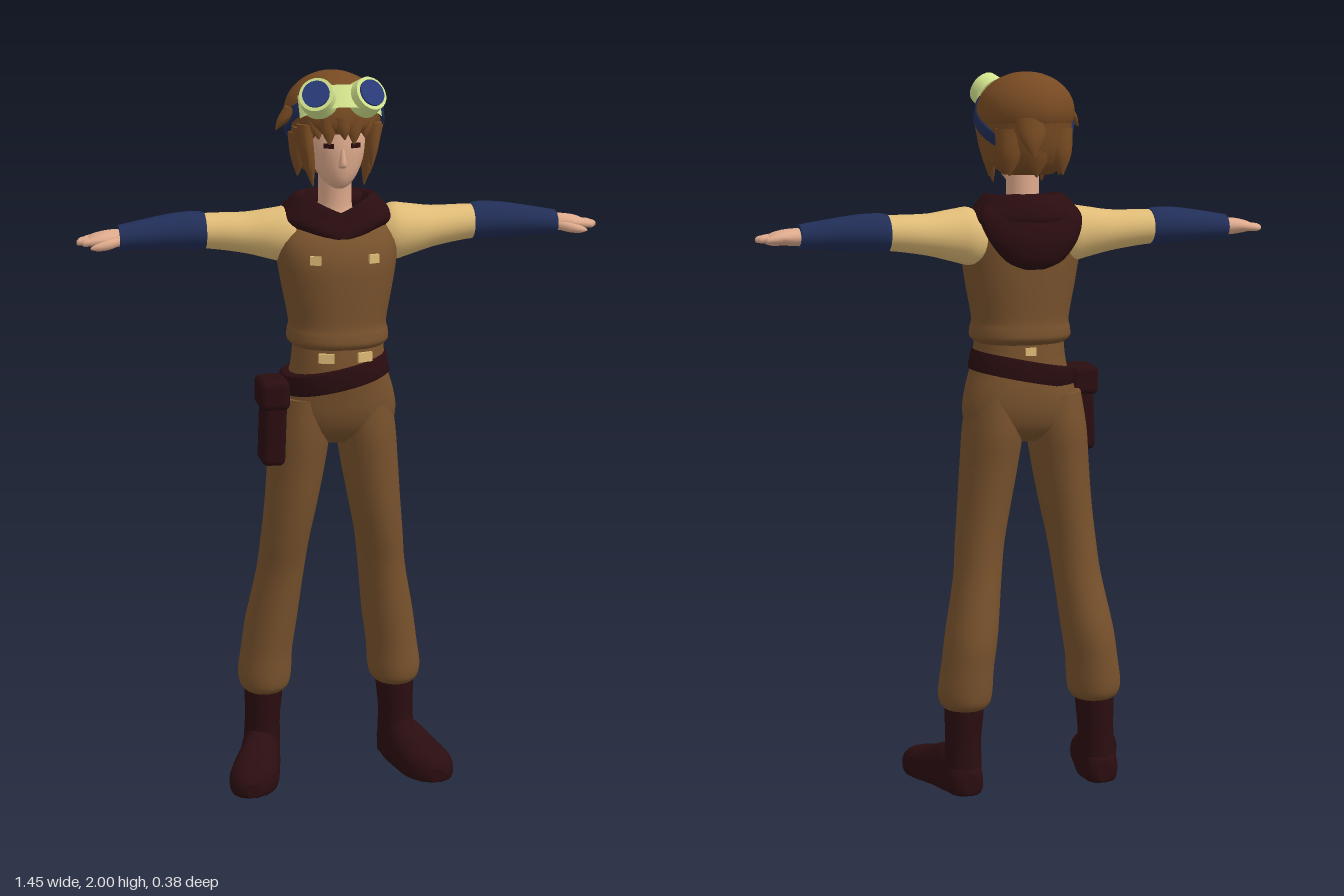
import * as THREE from 'three';
import { RoundedBoxGeometry } from 'three/addons/geometries/RoundedBoxGeometry.js';

const paint = (name, color) => {
  const m = new THREE.MeshStandardMaterial({ color });
  m.name = name;
  return m;
};

// Smooth closed loft. Sections are [x, y, z, a, b] along an axis:
// y: a = x radius, b = z radius; x: a = y radius, b = z radius; z: a = x radius, b = y radius.
function loft(sections, { axis = 'y', n = 28, sub = 4, power = 1, warp } = {}) {
  const rows = [];
  const at = i => sections[Math.max(0, Math.min(sections.length - 1, i))];
  for (let i = 0; i < sections.length - 1; i++)
    for (let k = 0; k < sub; k++) {
      const t = k / sub;
      rows.push(at(i).map((p1, c) => {
        const p0 = at(i - 1)[c], p2 = at(i + 1)[c], p3 = at(i + 2)[c];
        return p1 + 0.5 * t * (p2 - p0 + t * (2 * p0 - 5 * p1 + 4 * p2 - p3 + t * (3 * (p1 - p2) + p3 - p0)));
      }));
    }
  rows.push(at(sections.length - 1));
  const pos = [], idx = [], v = new THREE.Vector3();
  const bend = f => Math.sign(f) * Math.abs(f) ** power;
  const ring = ([x, y, z, a, b]) => {
    for (let j = 0; j < n; j++) {
      const t = (j / n) * Math.PI * 2, c = bend(Math.cos(t)), s = bend(Math.sin(t));
      if (axis === 'y') v.set(x + a * c, y, z + b * s);
      else if (axis === 'x') v.set(x, y + a * s, z + b * c);
      else v.set(x + a * s, y + b * c, z);
      if (warp) warp(v);
      pos.push(v.x, v.y, v.z);
    }
  };
  rows.forEach(ring);
  for (let i = 0; i < rows.length - 1; i++)
    for (let j = 0; j < n; j++) {
      const a = i * n + j, b = i * n + (j + 1) % n;
      idx.push(a, a + n, b, b, a + n, b + n);
    }
  // end caps with their own vertices
  [rows[0], rows[rows.length - 1]].forEach((r, end) => {
    const base = pos.length / 3;
    ring(r);
    v.set(r[0], r[1], r[2]);
    if (warp) warp(v);
    pos.push(v.x, v.y, v.z);
    for (let j = 0; j < n; j++) {
      const a = base + j, b = base + (j + 1) % n;
      end ? idx.push(base + n, b, a) : idx.push(base + n, a, b);
    }
  });
  const g = new THREE.BufferGeometry();
  g.setAttribute('position', new THREE.Float32BufferAttribute(pos, 3));
  g.setIndex(idx);
  g.computeVertexNormals();
  return g;
}

export function createModel() {
  const brown = paint('brown cloth', 0x77512c), hairBrown = paint('hair brown', 0x774a22);
  const skin = paint('skin', 0xdeaa8c), tan = paint('tan cloth', 0xdfbb76);
  const navy = paint('navy', 0x212e57), dark = paint('dark leather', 0x2a0d10);
  const lime = paint('pale lime', 0xd2e38c), blue = paint('lens blue', 0x2b3c7c);
  lime.side = THREE.DoubleSide;

  const model = new THREE.Group();
  const group = (name, x = 0, y = 0, z = 0, parent = model) => {
    const g = new THREE.Group();
    g.name = name;
    g.position.set(x, y, z);
    parent.add(g);
    return g;
  };
  const add = (parent, name, geo, mat, p = [0, 0, 0], r = [0, 0, 0]) => {
    const m = new THREE.Mesh(geo, mat);
    m.name = name;
    m.position.set(...p);
    m.rotation.set(...r);
    parent.add(m);
    return m;
  };
  // mirrors sections in x; reversing keeps lofts along x facing outward
  const side = (s, list, reverse) => {
    const out = list.map(([x, ...rest]) => [s * x, ...rest]);
    return s < 0 && reverse ? out.reverse() : out;
  };

  // torso
  const body = group('torso', -0.018);
  add(body, 'vest', loft([
    [0, 1.26, 0.01, 0.122, 0.108], [0, 1.275, 0.006, 0.139, 0.126], [0, 1.3, 0.005, 0.139, 0.125],
    [0, 1.33, 0.004, 0.135, 0.12], [0, 1.42, 0.003, 0.152, 0.122], [0, 1.5, 0, 0.165, 0.12],
    [0, 1.56, -0.013, 0.166, 0.104], [0, 1.605, -0.03, 0.14, 0.07], [0, 1.62, -0.03, 0.07, 0.04],
  ], { power: 0.9, n: 40 }), brown);
  add(body, 'hips', loft([
    [0, 0.985, 0, 0.09, 0.05], [0, 1.02, 0, 0.15, 0.092], [0, 1.07, 0.002, 0.164, 0.113],
    [0, 1.13, 0.006, 0.155, 0.118], [0, 1.2, 0.015, 0.133, 0.115], [0, 1.275, 0.013, 0.124, 0.105],
  ], { power: 0.92, n: 36 }), brown);
  for (const s of [-1, 1]) {
    add(body, 'chestStud', new THREE.BoxGeometry(0.03, 0.024, 0.009), tan, [s * 0.08, 1.51, 0.109], [0, s * 0.35, 0]);
    add(body, 'waistBuckle', new THREE.BoxGeometry(0.042, 0.026, 0.009), tan, [s * 0.053, 1.242, 0.121], [0, s * 0.3, 0]);
  }
  add(body, 'backBuckle', new THREE.BoxGeometry(0.03, 0.022, 0.009), tan, [0, 1.242, -0.096]);

  // belt and hip pouch
  add(model, 'belt', loft([
    [0, -0.03, 0, 0.142, 0.118], [0, -0.026, 0, 0.15, 0.126], [0, 0.026, 0, 0.15, 0.126], [0, 0.03, 0, 0.142, 0.118],
  ], { power: 0.92, n: 40, sub: 1 }), dark, [-0.028, 1.183, 0.016], [0, 0, 0.2]);
  const pouch = group('hipPouch', -0.21, 1.05, 0.055);
  add(pouch, 'pouchBody', new RoundedBoxGeometry(0.066, 0.22, 0.1, 3, 0.018), dark, [0, 0, 0], [0, 0, -0.04]);
  add(pouch, 'pouchFlap', new RoundedBoxGeometry(0.085, 0.085, 0.118, 3, 0.02), dark, [0, 0.09, 0]);

  // hood lying around the neck
  add(body, 'hoodCollar', loft([
    [0, 1.575, -0.035, 0.145, 0.1], [0, 1.605, -0.035, 0.165, 0.125], [0, 1.645, -0.035, 0.135, 0.112],
    [0, 1.672, -0.03, 0.105, 0.092], [0, 1.65, -0.022, 0.08, 0.072], [0, 1.59, -0.02, 0.05, 0.045],
  ], { n: 40, warp: v => { if (v.z > 0) v.y -= 0.05 * Math.min(1, v.z / 0.07) * Math.max(0, 1 - Math.abs(v.x) / 0.12); } }), dark);
  add(body, 'hoodBack', loft([
    [0, 1.472, -0.13, 0.03, 0.015], [0, 1.495, -0.13, 0.08, 0.036], [0, 1.55, -0.122, 0.125, 0.05],
    [0, 1.61, -0.098, 0.145, 0.055], [0, 1.65, -0.075, 0.12, 0.045], [0, 1.67, -0.07, 0.07, 0.025],
  ]), dark);

  // arms
  for (const s of [-1, 1]) {
    const arm = group(s > 0 ? 'leftArm' : 'rightArm');
    const limb = (name, list, mat, n = 24) => add(arm, name, loft(side(s, list, true), { axis: 'x', n }), mat);
    limb('sleeve', [
      [0.1, 1.55, -0.03, 0.06, 0.06], [0.14, 1.558, -0.033, 0.079, 0.08], [0.19, 1.562, -0.036, 0.071, 0.077],
      [0.26, 1.566, -0.046, 0.057, 0.066], [0.34, 1.572, -0.054, 0.05, 0.058], [0.39, 1.574, -0.056, 0.047, 0.055],
    ], tan);
    limb('gauntlet', [
      [0.374, 1.574, -0.056, 0.05, 0.058], [0.4, 1.576, -0.056, 0.052, 0.06], [0.46, 1.576, -0.052, 0.049, 0.057],
      [0.54, 1.572, -0.042, 0.041, 0.049], [0.61, 1.567, -0.033, 0.034, 0.042],
    ], navy);
    limb('palm', [
      [0.59, 1.567, -0.032, 0.022, 0.03], [0.62, 1.567, -0.03, 0.024, 0.036], [0.65, 1.567, -0.028, 0.021, 0.044],
      [0.675, 1.566, -0.027, 0.016, 0.044], [0.69, 1.565, -0.027, 0.01, 0.04],
    ], skin);
    [[-0.06, 0.705], [-0.038, 0.72], [-0.016, 0.725], [0.005, 0.712]].forEach(([z, tip]) => limb('finger', [
      [0.66, 1.566, z, 0.012, 0.012], [tip - 0.015, 1.563, z, 0.01, 0.011], [tip - 0.003, 1.561, z, 0.007, 0.008], [tip, 1.561, z, 0.002, 0.002],
    ], skin, 10));
    limb('thumb', [
      [0.61, 1.562, -0.005, 0.012, 0.012], [0.64, 1.557, 0.01, 0.014, 0.014], [0.67, 1.552, 0.016, 0.011, 0.011], [0.69, 1.549, 0.017, 0.003, 0.003],
    ], skin, 12);
  }

  // legs and boots
  const legs = group('legs', -0.03);
  for (const s of [-1, 1]) {
    add(legs, 'trouserLeg', loft(side(s, [
      [0.192, 0.238, -0.05, 0.056, 0.062], [0.191, 0.255, -0.052, 0.07, 0.08], [0.19, 0.29, -0.053, 0.076, 0.086],
      [0.183, 0.36, -0.054, 0.073, 0.087], [0.17, 0.45, -0.05, 0.073, 0.089], [0.147, 0.6, -0.028, 0.067, 0.08],
      [0.135, 0.7, -0.012, 0.068, 0.085], [0.12, 0.8, -0.003, 0.073, 0.092], [0.104, 0.92, 0, 0.08, 0.1],
      [0.093, 1.02, 0, 0.083, 0.108], [0.085, 1.12, 0.003, 0.075, 0.1],
    ])), brown);
    add(legs, 'bootShaft', loft(side(s, [
      [0.2, 0.01, -0.06, 0.054, 0.066], [0.199, 0.08, -0.056, 0.052, 0.066], [0.197, 0.15, -0.054, 0.05, 0.062],
      [0.194, 0.22, -0.053, 0.054, 0.063], [0.193, 0.255, -0.053, 0.054, 0.062],
    ])), dark);
    add(legs, 'bootFoot', loft(side(s, [
      [0.198, 0.035, -0.128, 0.02, 0.03], [0.2, 0.035, -0.11, 0.045, 0.05], [0.205, 0.04, -0.05, 0.055, 0.08],
      [0.217, 0.038, 0.01, 0.06, 0.085], [0.238, 0.032, 0.07, 0.069, 0.065], [0.252, 0.028, 0.12, 0.071, 0.056],
      [0.262, 0.025, 0.165, 0.054, 0.044], [0.266, 0.022, 0.187, 0.02, 0.02],
    ]), { axis: 'z', power: 0.85, warp: v => { v.y = Math.max(0, v.y); } }), dark);
  }

  // head
  const head = group('head', -0.02);
  add(head, 'neck', loft([
    [0, 1.55, -0.012, 0.075, 0.07], [0, 1.61, -0.015, 0.056, 0.052], [0, 1.65, -0.016, 0.046, 0.046], [0, 1.76, -0.01, 0.046, 0.05],
  ]), skin);
  add(head, 'face', loft([
    [0, 1.695, 0.04, 0.014, 0.018], [0, 1.705, 0.034, 0.03, 0.04], [0, 1.73, 0.02, 0.052, 0.066],
    [0, 1.77, 0.006, 0.071, 0.086], [0, 1.82, 0, 0.081, 0.093], [0, 1.9, -0.01, 0.08, 0.09],
  ]), skin);
  add(head, 'nose', loft([[0, 1.755, 0.088, 0.01, 0.006], [0, 1.765, 0.092, 0.011, 0.015], [0, 1.805, 0.09, 0.005, 0.006]], { n: 12 }), skin);
  for (const s of [-1, 1])
    add(head, 'eye', new THREE.BoxGeometry(0.028, 0.013, 0.008), dark, [s * 0.036, 1.814, 0.083], [0, s * 0.4, 0]);

  // hair
  const hair = group('hair', 0, 0, 0, head);
  add(hair, 'hairCap', loft([
    [0, 1.845, -0.035, 0.11, 0.125], [0, 1.865, -0.037, 0.128, 0.141], [0, 1.9, -0.04, 0.132, 0.144],
    [0, 1.94, -0.042, 0.119, 0.131], [0, 1.975, -0.045, 0.084, 0.1], [0, 1.995, -0.048, 0.04, 0.05], [0, 2, -0.048, 0.006, 0.008],
  ], { n: 36 }), hairBrown);
  add(hair, 'hairBack', loft([
    [0, 1.725, -0.062, 0.07, 0.045], [0, 1.75, -0.065, 0.095, 0.078], [0, 1.8, -0.058, 0.112, 0.11], [0, 1.87, -0.045, 0.125, 0.134],
  ]), hairBrown);
  const lock = (tip, root, w, d) => add(hair, 'hairLock', loft([
    [...tip, 0.002, 0.002],
    [...tip.map((t, i) => t * 0.55 + root[i] * 0.45), w * 0.7, d * 0.7],
    [...root, w, d],
  ], { n: 12 }), hairBrown);
  [[-0.062, -0.072], [-0.036, -0.038], [0.004, -0.002], [0.03, 0.034], [0.066, 0.07]].forEach(([tx, rx], i) =>
    lock([tx, i % 2 ? 1.818 : 1.832, 0.1 - 6 * tx * tx], [rx, 1.89, 0.09 - 7 * rx * rx], 0.026, 0.02));
  for (const s of [-1, 1]) {
    lock([s * 0.07, 1.7, 0.035], [s * 0.098, 1.86, 0.02], 0.026, 0.05);
    lock([s * 0.085, 1.75, 0.065], [s * 0.095, 1.87, 0.045], 0.022, 0.03);
    lock([s * 0.1, 1.72, -0.03], [s * 0.095, 1.84, -0.04], 0.03, 0.05);
    lock([s * 0.075, 1.725, -0.135], [s * 0.06, 1.85, -0.11], 0.05, 0.045);
  }
  lock([0, 1.72, -0.14], [0, 1.85, -0.13], 0.06, 0.04);
  lock([0.02, 1.775, -0.183], [0.02, 1.88, -0.15], 0.05, 0.03);
  lock([-0.164, 1.85, 0], [-0.112, 1.91, -0.01], 0.026, 0.04);

  // goggles pushed up on the forehead
  const goggles = group('goggles', 0, 1.868, -0.025, head);
  goggles.rotation.x = -0.55;
  add(goggles, 'strap', loft([
    [0, -0.018, 0, 0.13, 0.145], [0, -0.016, 0, 0.136, 0.151], [0, 0.016, 0, 0.136, 0.151], [0, 0.018, 0, 0.13, 0.145],
  ], { n: 40, sub: 1 }), navy);
  const frame = add(goggles, 'goggleFrame', new THREE.CylinderGeometry(1, 1, 0.066, 28, 1, true, -0.95, 1.9), lime);
  frame.scale.set(0.137, 1, 0.156);
  for (const s of [-1, 1]) {
    const eye = group('goggleEye', s * 0.066, 0.005, 0.137, goggles);
    eye.rotation.y = s * 0.4;
    add(eye, 'goggleRim', new THREE.CylinderGeometry(0.047, 0.052, 0.045, 24), lime, [0, 0, 0], [Math.PI / 2, 0, 0]);
    add(eye, 'goggleLens', new THREE.CylinderGeometry(0.037, 0.037, 0.008, 24), blue, [0, 0, 0.024], [Math.PI / 2, 0, 0]);
  }
  return model;
}
